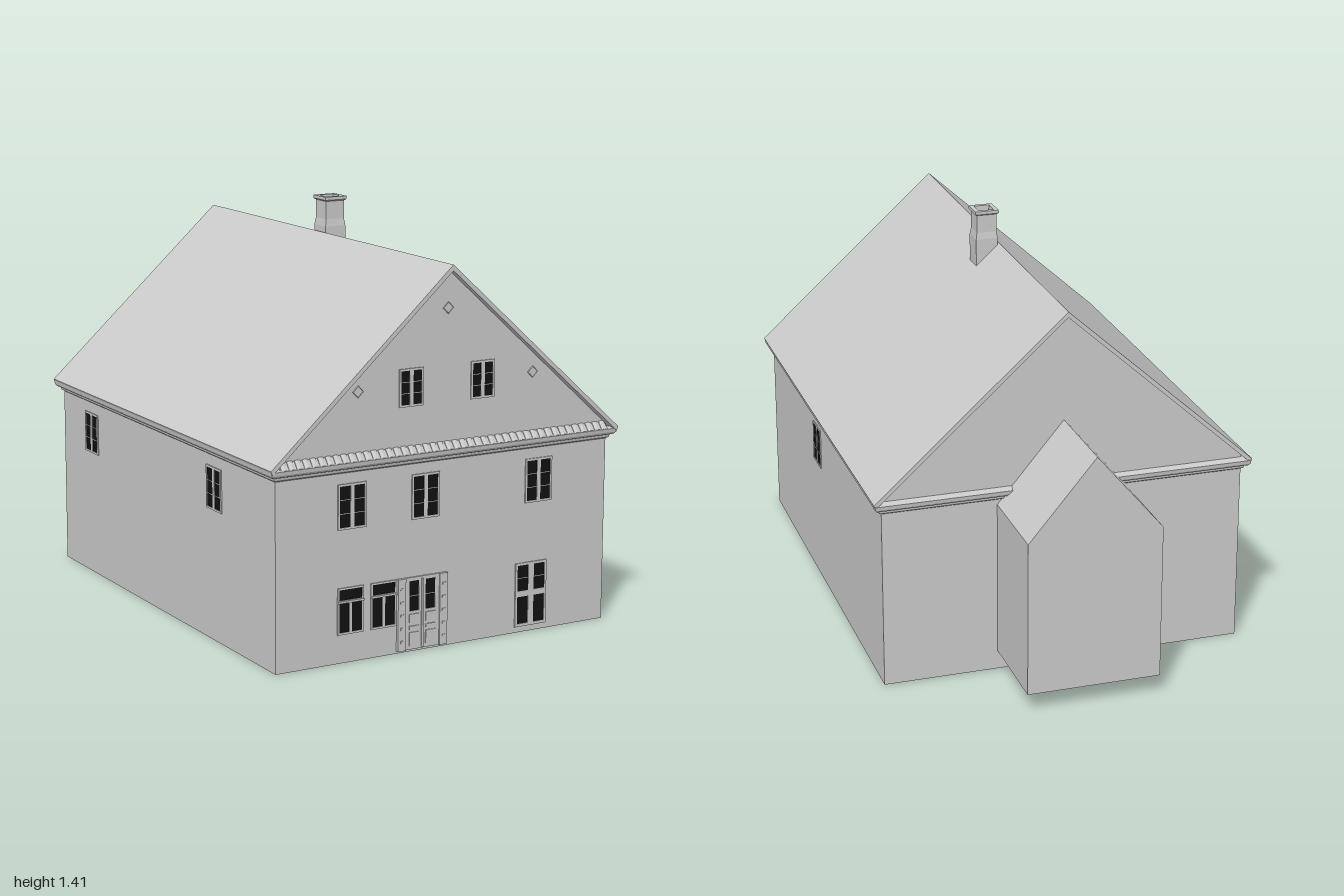
import * as THREE from 'three';

const grey = new THREE.MeshStandardMaterial({ color: 0xcccccc, flatShading: true, side: THREE.DoubleSide });
const black = new THREE.MeshStandardMaterial({ color: 0x111111, side: THREE.DoubleSide });

// House outline: walls, eaves and ridge
const HX = 0.643, ZF = 0.97, ZB = -0.66, EAVE = 0.645, RISE = 0.689, PEAK = 1.27;

function add(parent, name, geometry, x = 0, y = 0, z = 0, material = grey) {
  const mesh = new THREE.Mesh(geometry, material);
  mesh.name = name;
  mesh.position.set(x, y, z);
  parent.add(mesh);
  return mesh;
}
const box = (w, h, d) => new THREE.BoxGeometry(w, h, d);
const poly = (pts) => new THREE.Shape(pts.map(([x, y]) => new THREE.Vector2(x, y)));
const rect = ([x0, y0, x1, y1]) => poly([[x0, y0], [x1, y0], [x1, y1], [x0, y1]]);
const extrude = (shape, depth) => new THREE.ExtrudeGeometry(shape, { depth, bevelEnabled: false });

// Window or door: r = outer rectangle, panes = glass rectangles with bar counts [x0,y0,x1,y1,columns,rows]
function opening(parent, name, r, panes, proud = 0.004) {
  const g = new THREE.Group();
  g.name = name;
  parent.add(g);
  const frame = rect(r);
  frame.holes = panes.map(rect);
  add(g, 'frame', extrude(frame, 0.008 + proud), 0, 0, -0.008);
  const reveal = rect(r);
  reveal.holes = [rect([r[0] + 0.004, r[1] + 0.004, r[2] - 0.004, r[3] - 0.004])];
  add(g, 'reveal', extrude(reveal, 0.06), 0, 0, -0.06);
  for (const [x0, y0, x1, y1, cols, rows] of panes) {
    const w = x1 - x0, h = y1 - y0, cx = (x0 + x1) / 2, cy = (y0 + y1) / 2;
    add(g, 'glass', box(w, h, 0.002), cx, cy, proud - 0.003, black);
    for (let i = 1; i < cols; i++) add(g, 'glazingBar', box(0.0015, h, 0.002), x0 + (w * i) / cols, cy, proud - 0.002);
    for (let i = 1; i < rows; i++) add(g, 'glazingBar', box(w, 0.002, 0.002), cx, y0 + (h * i) / rows, proud - 0.002);
  }
  return g;
}

// Two-leaf casement
function casement(parent, x, y0, y1, w) {
  const h = w / 2, m = 0.007;
  const panes = [[x - h + m, y0 + m, x - m, y1 - m, 1, 3], [x + m, y0 + m, x + h - m, y1 - m, 1, 3]];
  opening(parent, 'window', [x - h, y0, x + h, y1], panes);
  return [x - h, y0, x + h, y1];
}

// Ground-floor window with a transom light
function transomWindow(parent, x) {
  const r = [x - 0.049, 0.097, x + 0.049, 0.255];
  opening(parent, 'transomWindow', r, [
    [x - 0.043, 0.213, x + 0.043, 0.249, 1, 1],
    [x - 0.043, 0.104, x - 0.005, 0.203, 1, 1],
    [x + 0.005, 0.104, x + 0.043, 0.203, 1, 1],
  ]);
  add(parent, 'transomBar', box(0.1, 0.007, 0.012), x, 0.208, 0.003);
  return r;
}

// Panelled main door between ornamented pilasters
function mainDoor(parent) {
  const r = [-0.187, 0.008, 0.003, 0.255], c = -0.092;
  const g = opening(parent, 'mainDoor', r,
    [[c - 0.05, 0.14, c - 0.013, 0.243, 1, 2], [c + 0.013, 0.14, c + 0.05, 0.243, 1, 2]], 0.006);
  add(g, 'meetingStile', box(0.007, 0.235, 0.008), c, 0.13, 0.006);
  for (const s of [-1, 1]) {
    add(g, 'pilaster', box(0.03, 0.247, 0.014), c + s * 0.081, 0.1315, 0.004);
    for (let i = 0; i < 5; i++) add(g, 'ornament', box(0.012, 0.008, 0.004), c + s * 0.081, 0.04 + i * 0.045, 0.012);
    for (const [y, h] of [[0.045, 0.045], [0.083, 0.012], [0.115, 0.03]])
      add(g, 'doorPanel', box(0.038, h, 0.005), c + s * 0.032, y, 0.007);
  }
  return r;
}

// Glazed double door
function sideDoor(parent) {
  const c = 0.344, r = [c - 0.063, 0.02, c + 0.063, 0.243], panes = [];
  for (const s of [-1, 1]) for (const [y0, y1] of [[0.03, 0.125], [0.145, 0.235]])
    panes.push([c + s * 0.033 - 0.022, y0, c + s * 0.033 + 0.022, y1, 1, y0 > 0.1 ? 2 : 1]);
  opening(parent, 'glazedDoor', r, panes);
  return r;
}

// Wall sheet with its openings cut out
function wall(parent, name, pts, x, z, turn, fill = () => []) {
  const g = new THREE.Group();
  g.name = name;
  g.position.set(x, 0, z);
  g.rotation.y = turn;
  parent.add(g);
  const shape = poly(pts);
  shape.holes = fill(g).map(([a, b, c, d]) => rect([a + 0.003, b + 0.003, c - 0.003, d - 0.003]));
  add(g, 'wallFace', new THREE.ShapeGeometry(shape));
  return g;
}

// Moulding swept round the four walls; profile = [offset from wall, height]
function cornice(profile) {
  const pos = [], idx = [];
  for (const [o, y] of profile)
    for (const [sx, z] of [[1, ZF + o], [1, ZB - o], [-1, ZB - o], [-1, ZF + o]]) pos.push(sx * (HX + o), y, z);
  for (let i = 0; i < profile.length - 1; i++)
    for (let j = 0; j < 4; j++) {
      const a = i * 4 + j, b = i * 4 + ((j + 1) % 4);
      idx.push(a, b, a + 4, b, b + 4, a + 4);
    }
  const geo = new THREE.BufferGeometry();
  geo.setAttribute('position', new THREE.Float32BufferAttribute(pos, 3));
  geo.setIndex(idx);
  geo.computeVertexNormals();
  return geo;
}

export function createModel() {
  const house = new THREE.Group();
  house.name = 'house';

  // Gable walls and side walls
  const gable = [[-HX, 0], [HX, 0], [HX, RISE], [0, PEAK], [-HX, RISE]];
  const front = wall(house, 'frontWall', gable, 0, ZF, 0, (g) => [
    ...[-0.36, -0.08, 0.368].map((x) => casement(g, x, 0.45, 0.602, 0.107)),
    ...[-0.139, 0.137].map((x) => casement(g, x, 0.831, 0.958, 0.092)),
    ...[-0.365, -0.239].map((x) => transomWindow(g, x)),
    mainDoor(g), sideDoor(g),
  ]);
  wall(house, 'backWall', gable, 0, ZB, Math.PI);
  const side = (a, b) => [[a, 0], [b, 0], [b, RISE], [a, RISE]];
  wall(house, 'leftWall', side(-ZF, -ZB), HX, 0, Math.PI / 2, (g) => [casement(g, -0.255, 0.452, 0.6, 0.107)]);
  wall(house, 'rightWall', side(ZB, ZF), -HX, 0, -Math.PI / 2, (g) =>
    [-0.416, 0.55].map((z) => casement(g, z, 0.452, 0.6, 0.107)));
  add(house, 'ceiling', box(2 * HX, 0.01, ZF - ZB), 0, EAVE, (ZF + ZB) / 2);

  // Diamond vents in the gable
  for (const [x, y] of [[-0.34, 0.9], [0.336, 0.9], [0, 1.145]]) {
    add(front, 'ventPanel', box(0.025, 0.025, 0.003), x, y, 0.001).rotation.z = Math.PI / 4;
    add(front, 'ventFrame', new THREE.TorusGeometry(0.019, 0.002, 4, 4), x, y, 0.001);
  }

  // Main roof
  add(house, 'roof', extrude(poly([[-0.674, 0.682], [0, 1.29], [0.674, 0.682], [0.668, 0.668], [0, 1.27], [-0.668, 0.668]]), 1.685), 0, 0, -0.685);

  // Eaves moulding
  add(house, 'cornice', cornice([[0, 0.638], [0.008, 0.643], [0.01, 0.652], [0.019, 0.655], [0.026, 0.663], [0.028, 0.676], [0, 0.682]]));

  // Row of curved tiles over the front moulding
  const tiles = new THREE.Group();
  tiles.name = 'tileRow';
  house.add(tiles);
  const count = 45, pitch = 1.27 / count;
  const tileGeo = new THREE.CylinderGeometry(pitch * 0.42, pitch * 0.5, 0.034, 6);
  tileGeo.scale(1, 1, 0.4);
  for (let i = 0; i < count; i++)
    add(tiles, 'tile', tileGeo, (i - (count - 1) / 2) * pitch, 0.687, 0.982).rotation.x = -0.75;
  add(tiles, 'tileBed', extrude(poly([[0, 0.676], [0.024, 0.676], [0, 0.698]]), 1.27), 0.635, 0, ZF).rotation.y = -Math.PI / 2;

  // Hollow square chimney with a thin cap
  const flue = [[0.04, 1.2], [0.04, 1.31], [0.036, 1.335], [0.036, 1.398], [0.043, 1.403], [0.043, 1.414],
    [0.028, 1.414], [0.026, 1.32], [0, 1.32]];
  add(house, 'chimney', new THREE.LatheGeometry(flue.map(([r, y]) => new THREE.Vector2(r * Math.SQRT2, y)), 4, Math.PI / 4), 0.046, 0, 0.12);

  // Raised rear annex with its own ridge
  add(house, 'annex', extrude(poly([[-0.23, 0.07], [0.24, 0.07], [0.24, 0.62], [0.005, 0.9], [-0.23, 0.62]]), 0.338), 0, 0, -1);

  return house;
}
